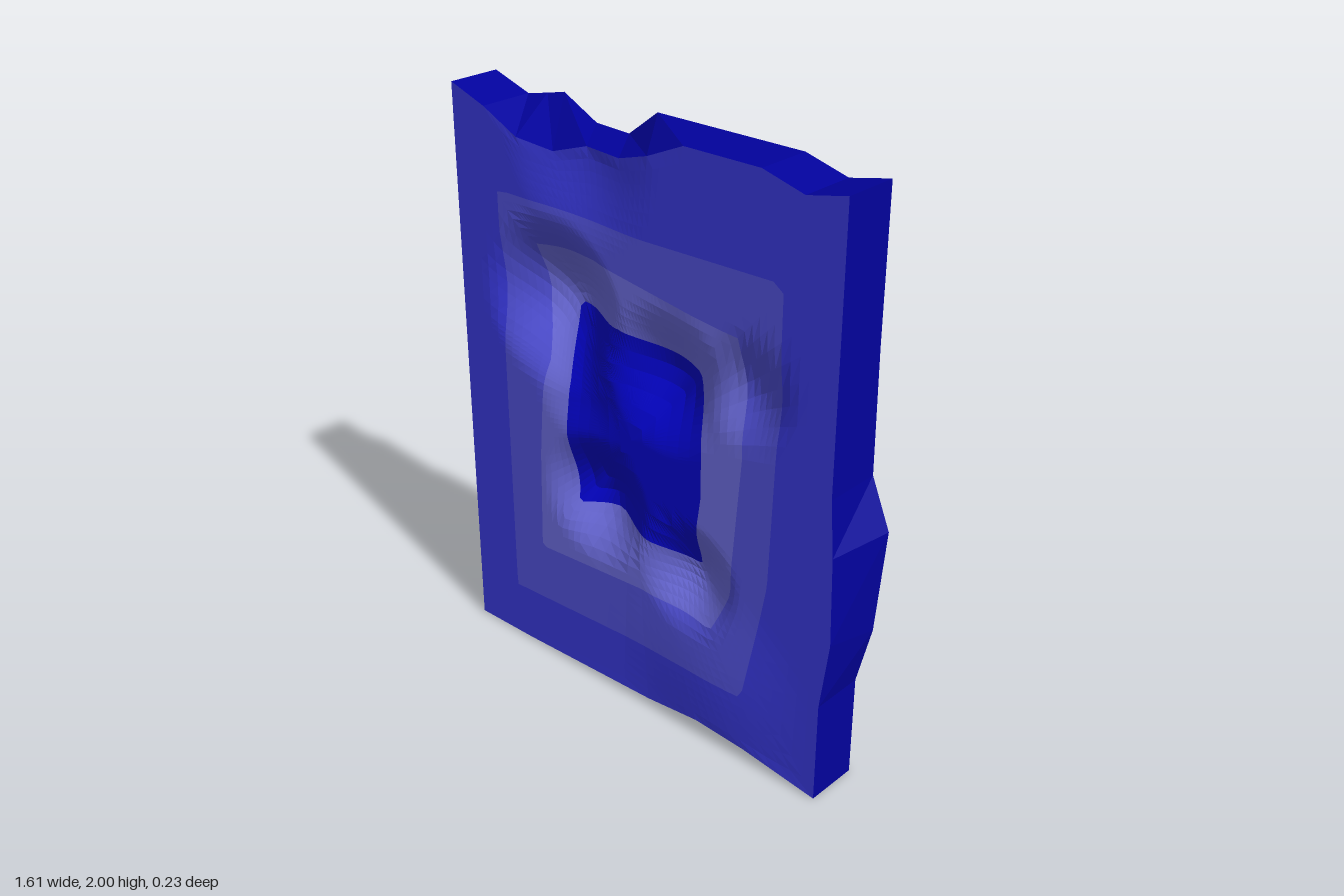
import * as THREE from 'three';

const mat = (name, color) => {
  const m = new THREE.MeshStandardMaterial({ color, flatShading: true });
  m.name = name;
  return m;
};

// Paired rim points, counterclockwise from the lower right: front x, y, back x, y
const RIM = [
  [0.735, 0.003, 0.735, 0], [0.735, 0.36, 0.735, 0.36], [0.765, 0.6, 0.785, 0.57],
  [0.755, 0.9, 0.805, 0.92], [0.74, 1.09, 0.74, 1.09], [0.74, 1.5, 0.74, 1.5],
  [0.74, 1.99, 0.74, 1.99], [0.6, 1.96, 0.6, 1.96], [0.45, 2, 0.45, 2], [0.17, 2, 0.17, 2],
  [0.03, 1.94, -0.1, 2], [-0.1, 1.9, -0.22, 1.91], [-0.25, 1.9, -0.37, 1.91],
  [-0.38, 1.86, -0.51, 1.98], [-0.52, 1.88, -0.58, 1.965], [-0.66, 1.95, -0.66, 1.95],
  [-0.805, 2, -0.805, 2], [-0.805, 1.55, -0.805, 1.55], [-0.805, 1.28, -0.79, 1.28],
  [-0.805, 1.17, -0.735, 1.17], [-0.805, 0.94, -0.795, 0.94], [-0.805, 0.75, -0.805, 0.75],
  [-0.805, 0.4, -0.805, 0.4], [-0.805, 0.005, -0.805, 0.005],
  [-0.55, 0.008, -0.55, 0.008], [0.03, 0.03, 0.03, 0.02], [0.25, 0.06, 0.25, 0.015],
  [0.45, 0.045, 0.45, 0.01],
];

// Borders of the nested colour bands, from outside to inside
const FRONT_BANDS = [
  [[0.54, 1.69], [0, 1.68], [-0.4, 1.69], [-0.615, 1.69], [-0.61, 0.21], [-0.2, 0.23],
    [0.2, 0.25], [0.44, 0.25], [0.52, 0.7], [0.54, 1.3]],
  [[0.38, 1.48], [0.2, 1.5], [-0.2, 1.56], [-0.49, 1.53], [-0.48, 1.3], [-0.43, 1.15],
    [-0.46, 0.8], [-0.47, 0.43], [0, 0.46], [0.3, 0.44], [0.37, 0.6], [0.41, 1.1]],
  [[0.21, 1.3], [-0.1, 1.36], [-0.38, 1.34], [-0.34, 1.1], [-0.32, 0.65], [-0.15, 0.68],
    [0, 0.66], [0.21, 0.62], [0.25, 0.9], [0.25, 1.05]],
];
const BACK_BANDS = [
  [[0.54, 1.69], [-0.615, 1.68], [-0.6, 0.9], [-0.556, 0.27], [-0.09, 0.27], [0.55, 0.28]],
  [[0.385, 1.5], [-0.43, 1.49], [-0.41, 0.79], [-0.275, 0.55], [0.02, 0.32], [0.24, 0.33],
    [0.45, 0.41], [0.41, 1.07]],
  [[0.22, 1.35], [-0.09, 1.36], [-0.34, 1.32], [-0.34, 1.04], [-0.29, 0.76], [-0.16, 0.66],
    [0.3, 0.58], [0.28, 0.84], [0.23, 0.9]],
];

// Dents and bulges: x, y, radius, change of z
const FRONT_BUMPS = [
  [-0.38, 1.36, 0.32, -0.13], [0.1, 1.25, 0.26, -0.08], [0.42, 1.32, 0.2, -0.04],
  [-0.2, 0.72, 0.25, -0.09], [0.2, 0.59, 0.22, -0.065], [0.3, 0.25, 0.4, 0.018],
  [-0.25, 1.9, 0.32, -0.04], [-0.28, 1.1, 0.2, -0.03],
];
const BACK_BUMPS = [
  [-0.72, 1.16, 0.28, 0.065], [-0.6, 0.84, 0.2, -0.012], [0.805, 0.92, 0.4, -0.015],
  [-0.44, 1.95, 0.3, -0.02], [-0.1, 0.4, 0.3, 0.02],
];

// Sum of soft round bumps on a flat base
function height(base, bumps, x, y) {
  return bumps.reduce((z, [bx, by, r, d]) => {
    const t = Math.max(0, 1 - Math.hypot(x - bx, y - by) / r);
    return z + d * t * t * (3 - 2 * t);
  }, base);
}

const CENTER = [-0.04, 1];
const STEPS = 5;

// Rim with every edge divided evenly; o picks front (0) or back (2)
function rimLoop(o, z) {
  const corners = RIM.map((p) => new THREE.Vector3(p[o], p[o + 1], z(p[o], p[o + 1])));
  return corners.flatMap((a, i) => {
    const b = corners[(i + 1) % corners.length];
    return Array.from({ length: STEPS }, (_, k) => a.clone().lerp(b, k / STEPS).toArray());
  });
}

// Point where the ray from the centre through p meets a closed border
function project(p, border) {
  const dx = p[0] - CENTER[0], dy = p[1] - CENTER[1];
  let best = 0;
  border.forEach((a, i) => {
    const b = border[(i + 1) % border.length];
    const ex = b[0] - a[0], ey = b[1] - a[1];
    const ax = a[0] - CENTER[0], ay = a[1] - CENTER[1];
    const det = dx * ey - dy * ex;
    if (Math.abs(det) < 1e-9) return;
    const t = (ax * ey - ay * ex) / det, s = (ax * dy - ay * dx) / det;
    if (t > 0 && s >= -1e-6 && s <= 1 + 1e-6) best = Math.max(best, t);
  });
  return [CENTER[0] + dx * best, CENTER[1] + dy * best];
}

// Closed strip of quads between successive loops of 3D points
function strip(loops, flip) {
  const n = loops[0].length, idx = [];
  for (let r = 0; r + 1 < loops.length; r++) {
    for (let i = 0; i < n; i++) {
      const j = (i + 1) % n;
      const a = r * n + i, b = a + n, c = (r + 1) * n + j, d = r * n + j;
      idx.push(...(flip ? [a, c, b, a, d, c] : [a, b, c, a, c, d]));
    }
  }
  const g = new THREE.BufferGeometry();
  g.setAttribute('position', new THREE.Float32BufferAttribute(loops.flat(2), 3));
  g.setIndex(idx);
  const flat = g.toNonIndexed();
  flat.computeVertexNormals();
  return flat;
}

export function createModel() {
  const group = new THREE.Group();
  const edge = mat('edge blue', 0x02029c);
  const bands = [mat('outer blue', 0x3a3ae2), mat('middle blue', 0x5353e0),
    mat('inner blue', 0x7070e6), mat('centre blue', 0x0303d4)];
  const names = ['OuterBand', 'MiddleBand', 'InnerBand', 'Centre'];
  const add = (name, geometry, material) => {
    const mesh = new THREE.Mesh(geometry, material);
    mesh.name = name;
    group.add(mesh);
  };

  // One dented face made of nested colour bands; returns its rim corners
  function face(side, o, borders, z, flip) {
    const rim = rimLoop(o, z);
    const loops = [rim, ...borders.map((b) => rim.map((p) => project(p, b))), rim.map(() => CENTER)];
    names.forEach((name, k) => {
      const rows = [];
      for (let s = 0; s <= 6; s++) {
        rows.push(k + s === 0 ? rim : loops[k].map((p, i) => {
          const q = loops[k + 1][i], t = s / 6;
          const x = p[0] + (q[0] - p[0]) * t, y = p[1] + (q[1] - p[1]) * t;
          return [x, y, z(x, y)];
        }));
      }
      // Rows run inwards, so turn them round to face out
      add(side + name, strip(rows.reverse(), flip), bands[k]);
    });
    return rim.filter((_, i) => i % STEPS === 0);
  }

  const front = face('front', 0, FRONT_BANDS, (x, y) => height(0.092, FRONT_BUMPS, x, y), false);
  const back = face('back', 2, BACK_BANDS, (x, y) => height(-0.097, BACK_BUMPS, x, y), true);

  // Wall around the slab
  add('edgeWall', strip([front, back], false), edge);
  return group;
}
